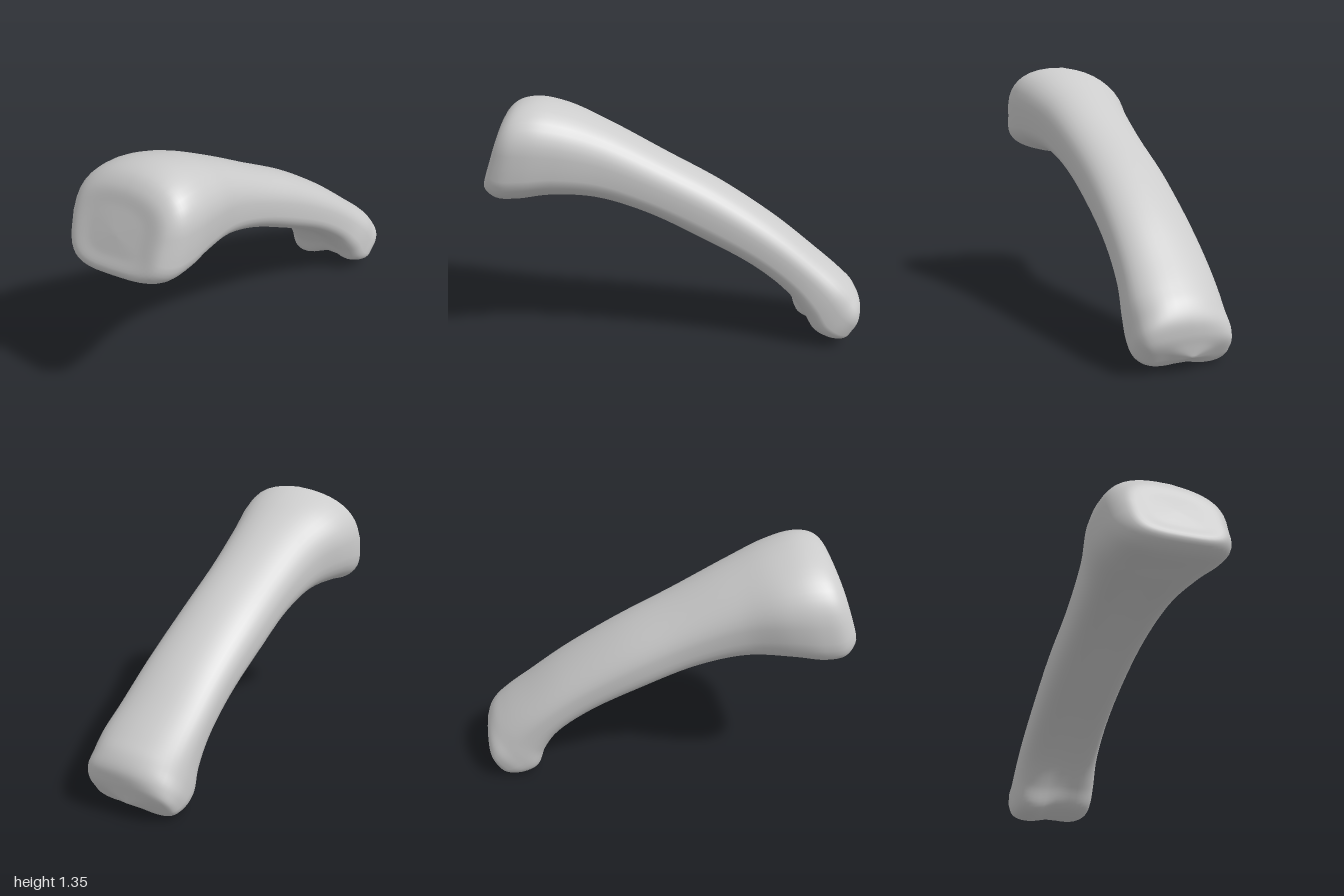
import * as THREE from 'three';
import { mergeVertices } from 'three/addons/utils/BufferGeometryUtils.js';

// Cross-sections from the broad head to the knuckle end:
// [topZ, topY, bottomZ, bottomY, minX, maxX, tilt, groove]
const SECTIONS = [
  [0.865, 1.275, 1.01, 0.855, -0.26, 0.27, 0.3, 0],
  [0.805, 1.33, 0.955, 0.78, -0.325, 0.325, 0.35, 0],
  [0.7, 1.35, 0.85, 0.76, -0.345, 0.34, 0.38, 0],
  [0.55, 1.315, 0.69, 0.78, -0.33, 0.32, 0.38, 0.03],
  [0.35, 1.22, 0.45, 0.775, -0.265, 0.275, 0.35, 0.08],
  [0.05, 1.05, 0.2, 0.71, -0.225, 0.25, 0.3, 0.08],
  [-0.25, 0.88, -0.1, 0.575, -0.21, 0.25, 0.2, 0.08],
  [-0.55, 0.675, -0.39, 0.415, -0.19, 0.27, 0.2, 0.08],
  [-0.77, 0.495, -0.57, 0.27, -0.18, 0.295, 0.2, 0.12],
  [-0.9, 0.385, -0.65, 0.14, -0.175, 0.32, 0.28, 0.2],
  [-0.965, 0.32, -0.695, 0.015, -0.175, 0.325, 0.4, 0.25],
  [-1, 0.25, -0.79, -0.02, -0.17, 0.325, 0.4, 0.25],
  [-1, 0.185, -0.885, -0.01, -0.145, 0.29, 0.35, 0.2],
];
const AROUND = 40, ALONG = 96;

const softPow = (v, p) => Math.sign(v) * Math.pow(Math.abs(v), p);

// One point on a rounded section with a slanted, slightly hollow underside
function sectionPoint([tz, ty, bz, by, x0, x1, tilt, groove], angle, roundness) {
  const upper = Math.sin(angle) >= 0;
  const p = upper ? 0.67 + 0.23 * roundness : 0.55 + 0.1 * roundness;
  const c = softPow(Math.cos(angle), p);
  let s = softPow(Math.sin(angle), p);
  if (upper) s *= 1 - 0.15 * Math.max(0, -c);
  else s *= 1 - tilt * (0.5 + 0.5 * c) - groove * Math.exp(-(((c - 0.1) / 0.4) ** 2));
  const w = (x1 - x0) / 2, k = (s + 1) / 2;
  return new THREE.Vector3(
    (x0 + x1) / 2 + w * c + (upper ? 0.1 * w * s : 0),
    by + (ty - by) * k,
    bz + (tz - bz) * k
  );
}

// Middle of a section, pushed outwards, where an end cap closes
const capCentre = ([tz, ty, bz, by, x0, x1], y, z) =>
  new THREE.Vector3((x0 + x1) / 2, (ty + by) / 2 + y, (tz + bz) / 2 + z);

// Lengthwise curve through all sections, closed by slightly domed caps
function lengthCurve(angle) {
  const last = SECTIONS.length - 1;
  const points = SECTIONS.map((s, i) => sectionPoint(s, angle, Math.sin((i / last) * Math.PI)));
  const head = capCentre(SECTIONS[0], 0.003, 0.008);
  const tail = capCentre(SECTIONS[last], -0.02, -0.035);
  const headRing = points[0].clone().lerp(head, 0.45);
  const tailRing = points[last].clone().lerp(tail, 0.5);
  return new THREE.CatmullRomCurve3(
    [head, headRing, ...points, tailRing, tail], false, 'centripetal');
}

export function createModel() {
  const group = new THREE.Group();
  group.name = 'fingerBone';

  const positions = [], index = [];
  for (let j = 0; j < AROUND; j++) {
    const curve = lengthCurve((j / AROUND) * Math.PI * 2);
    for (let i = 0; i <= ALONG; i++) positions.push(...curve.getPoint(i / ALONG).toArray());
  }

  // Skin between neighbouring curves, with single triangles at the poles
  const row = ALONG + 1;
  for (let j = 0; j < AROUND; j++) {
    for (let i = 0; i < ALONG; i++) {
      const a = j * row + i, b = ((j + 1) % AROUND) * row + i;
      if (i > 0) index.push(a, a + 1, b);
      if (i < ALONG - 1) index.push(b, a + 1, b + 1);
    }
  }
  const skin = new THREE.BufferGeometry();
  skin.setAttribute('position', new THREE.Float32BufferAttribute(positions, 3));
  skin.setIndex(index);
  const geometry = mergeVertices(skin, 1e-5);
  geometry.computeVertexNormals();

  const bone = new THREE.Mesh(geometry, new THREE.MeshStandardMaterial({ color: 0xcccccc }));
  bone.name = 'bone';
  group.add(bone);
  return group;
}
